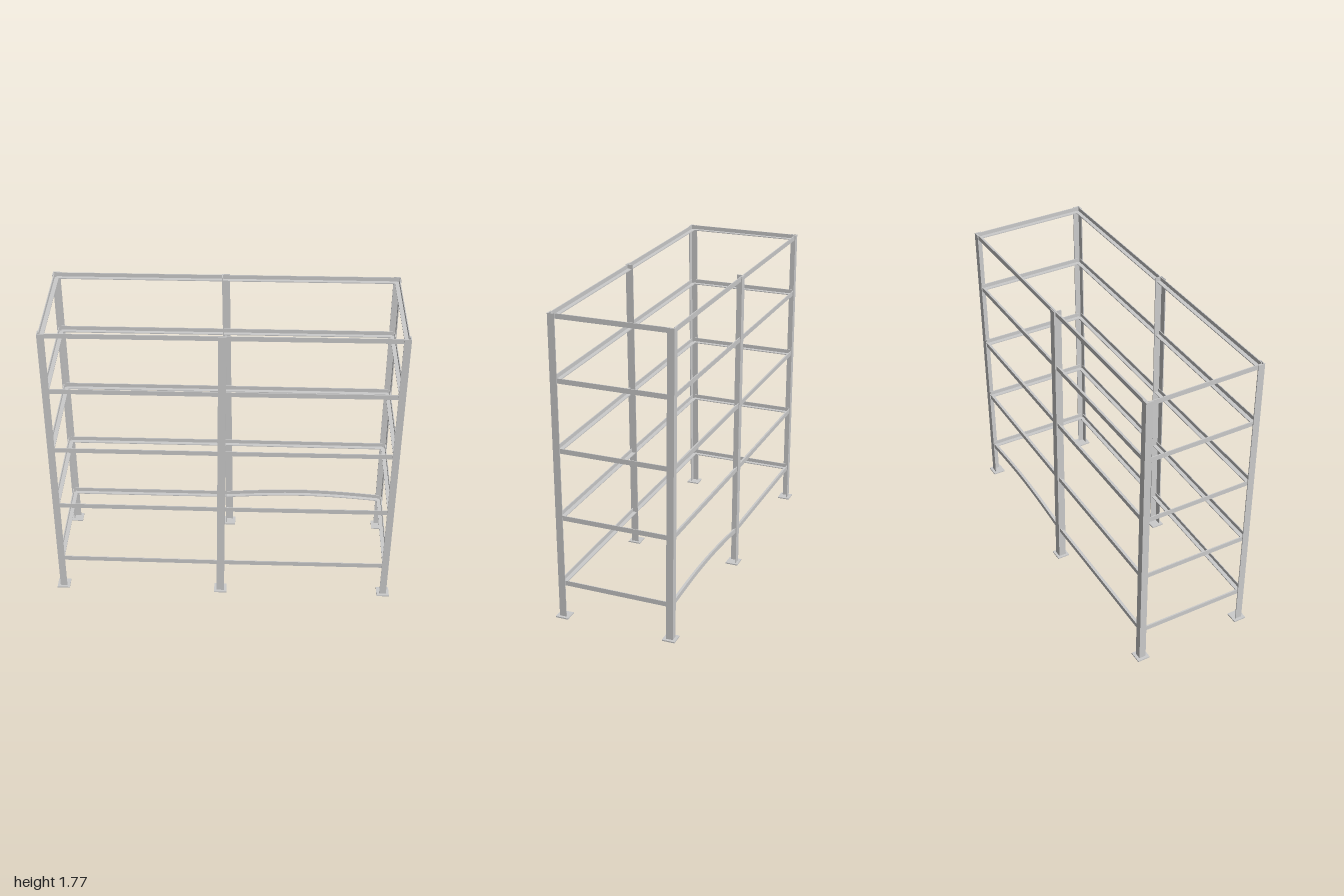
import * as THREE from 'three';

const material = new THREE.MeshStandardMaterial({ color: 0xcccccc, side: THREE.DoubleSide });
const V = (x, y, z) => new THREE.Vector3(x, y, z);
const UP = V(0, 1, 0);

// L-section bar: its heel runs from a to b, its two legs point along u and v
function angleBar(name, a, b, u, v, leg, bow = 0) {
  const thick = 0.005;
  const profile = new THREE.Shape([
    [0, 0], [leg, 0], [leg, thick], [thick, thick], [thick, leg], [0, leg],
  ].map(([x, y]) => new THREE.Vector2(x, y)));
  const geo = new THREE.ExtrudeGeometry(profile, { depth: 1, steps: bow ? 16 : 1, bevelEnabled: false });

  // Swap the ends of mirrored bars so faces still point outward
  const mirrored = u.clone().cross(v).dot(b.clone().sub(a)) < 0;
  const [start, end] = mirrored ? [b, a] : [a, b];
  const p = geo.attributes.position;
  for (let i = 0; i < p.count; i++) {
    const t = p.getZ(i);
    const q = start.clone().lerp(end, t)
      .addScaledVector(u, p.getX(i))
      .addScaledVector(v, p.getY(i))
      .addScaledVector(UP, bow * Math.sin(Math.PI * t));
    p.setXYZ(i, q.x, q.y, q.z);
  }
  geo.computeVertexNormals();
  const mesh = new THREE.Mesh(geo, material);
  mesh.name = name;
  return mesh;
}

export function createModel() {
  const rack = new THREE.Group();
  rack.name = 'shelfFrame';

  // Slightly leaning posts: foot x, z, top x, z, then the side the heel faces
  const posts = {
    frontRight: [-0.965, 0.308, -0.969, 0.326, -1, 1],
    frontMiddle: [-0.02, 0.324, -0.005, 0.328, 1, 1],
    frontLeft: [0.954, 0.332, 0.969, 0.33, 1, 1],
    backRight: [-0.96, -0.337, -0.972, -0.334, -1, -1],
    backMiddle: [0.019, -0.328, -0.005, -0.33, -1, -1],
    backLeft: [0.962, -0.309, 0.966, -0.327, 1, -1],
  };
  const topY = 1.772;
  const at = (key, y) => {
    const [x0, z0, x1, z1] = posts[key];
    const t = y / topY;
    return V(x0 + (x1 - x0) * t, y, z0 + (z1 - z0) * t);
  };

  for (const [key, [, , , , sx, sz]] of Object.entries(posts)) {
    const leg = key.endsWith('Middle') ? 0.044 : 0.04;
    const heel = V(sx * leg / 2, 0, sz * leg / 2);
    rack.add(angleBar(key + 'Post', at(key, 0).add(heel), at(key, topY).add(heel),
      V(-sx, 0, 0), V(0, 0, -sz), leg));

    // Thin foot plate
    const plate = new THREE.Mesh(new THREE.BoxGeometry(0.074, 0.007, 0.074), material);
    plate.name = key + 'FootPlate';
    plate.position.copy(at(key, 0.0035));
    rack.add(plate);
  }

  // Rail between two posts, heel along its lower outer edge
  const leg = 0.028;
  const addRail = (name, from, to, y, out, bow) => {
    const heel = out.clone().multiplyScalar(leg / 2).addScaledVector(UP, -leg / 2);
    rack.add(angleBar(name, at(from, y).add(heel), at(to, y).add(heel), out.clone().negate(), UP, leg, bow));
  };

  // Horizontal rails on every level
  [0.217, 0.615, 1.01, 1.406, 1.758].forEach((y, level) => {
    for (const [side, sign] of [['front', 1], ['back', -1]]) {
      for (const [from, to] of [['Right', 'Middle'], ['Middle', 'Left']]) {
        // The lowest back rail is bent upward on the left
        const bent = level === 0 && side === 'back' && to === 'Left';
        addRail(`${side}Rail`, side + from, side + to, y, V(0, 0, sign), bent ? 0.026 : 0);
      }
    }
    for (const [end, sign] of [['Right', -1], ['Left', 1]]) {
      addRail(`end${end}Rail`, 'front' + end, 'back' + end, y, V(sign, 0, 0), 0);
    }
  });
  return rack;
}
